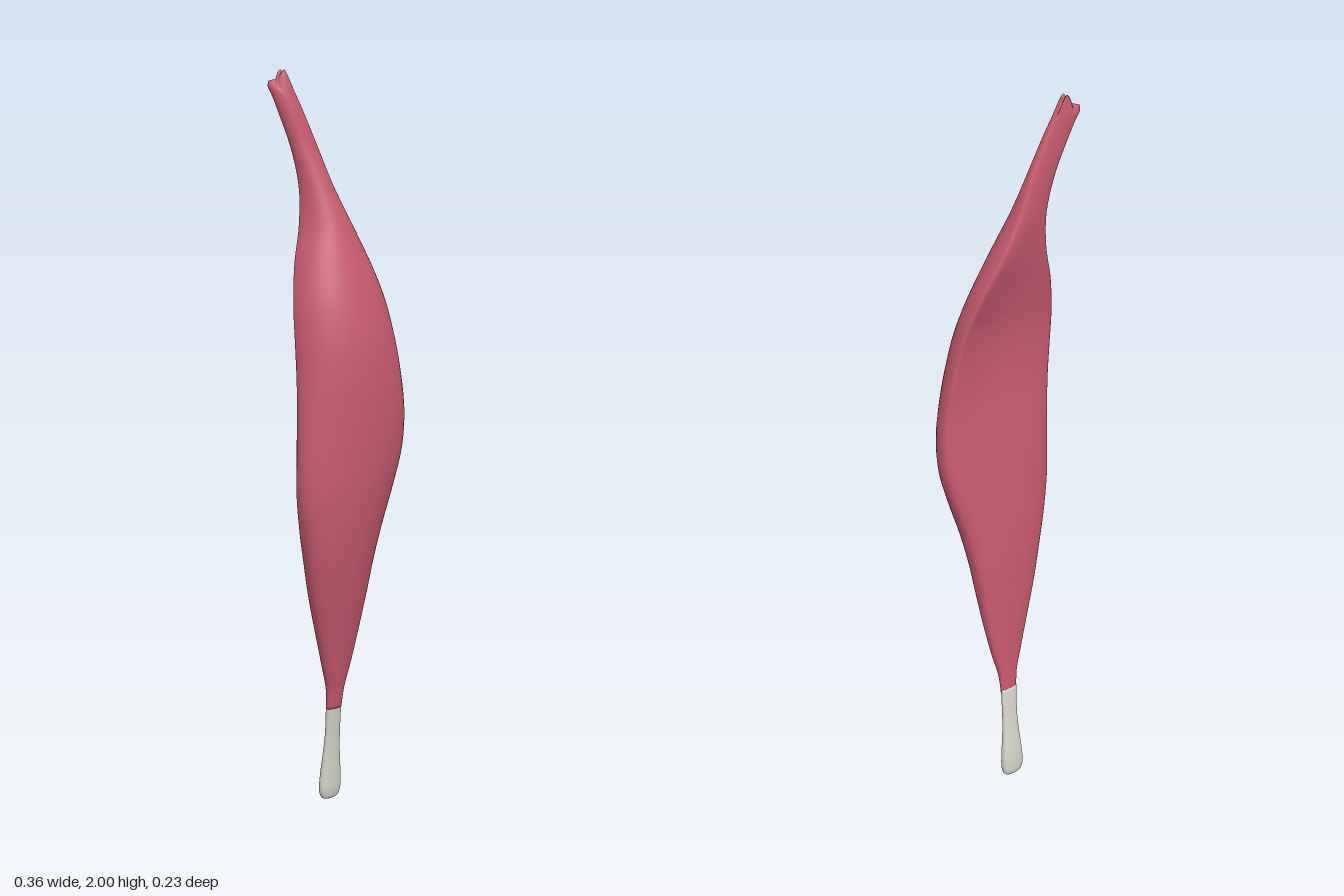
import * as THREE from 'three';

// Cross-sections: y, left x, right x, z of left rim, z of right rim, front z, back z
const MUSCLE = [
  [0.27, -0.03, 0.022, -0.044, -0.044, -0.032, -0.055],
  [0.33, -0.036, 0.026, -0.036, -0.038, -0.02, -0.054],
  [0.40, -0.058, 0.044, -0.026, -0.032, -0.004, -0.052],
  [0.50, -0.09, 0.064, -0.012, -0.022, 0.018, -0.051],
  [0.60, -0.12, 0.08, 0.0, -0.012, 0.042, -0.05],
  [0.70, -0.144, 0.096, 0.01, -0.004, 0.064, -0.049],
  [0.80, -0.165, 0.118, 0.016, 0.006, 0.082, -0.045],
  [0.90, -0.179, 0.148, 0.02, 0.014, 0.096, -0.038],
  [1.00, -0.18, 0.173, 0.02, 0.02, 0.106, -0.03],
  [1.10, -0.176, 0.178, 0.014, 0.018, 0.113, -0.02],
  [1.20, -0.172, 0.168, 0.006, 0.008, 0.115, -0.012],
  [1.30, -0.168, 0.152, -0.006, -0.006, 0.109, -0.012],
  [1.40, -0.16, 0.132, -0.022, -0.024, 0.09, -0.022],
  [1.50, -0.138, 0.1, -0.042, -0.05, 0.06, -0.047],
  [1.60, -0.108, 0.052, -0.058, -0.07, 0.026, -0.074],
  [1.70, -0.1, 0.002, -0.066, -0.074, -0.012, -0.088],
  [1.80, -0.116, -0.036, -0.08, -0.078, -0.046, -0.094],
  [1.90, -0.146, -0.08, -0.1, -0.086, -0.068, -0.103],
  [1.96, -0.165, -0.108, -0.112, -0.092, -0.086, -0.112],
  [1.985, -0.165, -0.12, -0.113, -0.098, -0.096, -0.113],
];
const TENDON = [
  [0.0, -0.016, 0.016, -0.067, -0.067, -0.06, -0.075],
  [0.006, -0.028, 0.029, -0.067, -0.067, -0.054, -0.08],
  [0.03, -0.036, 0.037, -0.065, -0.066, -0.049, -0.083],
  [0.08, -0.033, 0.035, -0.063, -0.064, -0.047, -0.08],
  [0.14, -0.028, 0.028, -0.058, -0.058, -0.045, -0.072],
  [0.20, -0.026, 0.024, -0.052, -0.052, -0.041, -0.064],
  [0.285, -0.03, 0.022, -0.044, -0.044, -0.033, -0.055],
];

// Catmull-Rom blend of two neighbouring sections, channel by channel
function sample(rows, u) {
  const n = rows.length - 1, i = Math.min(Math.floor(u), n - 1), t = u - i;
  const at = k => rows[Math.max(0, Math.min(n, k))];
  return rows[i].map((p1, c) => {
    const p0 = at(i - 1)[c], p2 = at(i + 1)[c], p3 = at(i + 2)[c];
    return p1 + 0.5 * t * (p2 - p0 + t * (2 * p0 - 5 * p1 + 4 * p2 - p3 + t * (3 * (p1 - p2) + p3 - p0)));
  });
}

// Closed loft: the front bulges, the back is shallow with rounded rims
function loft(rows, name, color, shapeTop) {
  const sides = 48, steps = (rows.length - 1) * 5, pos = [], idx = [];
  for (let j = 0; j <= steps; j++) {
    const [y, xl, xr, zl, zr, zf, zb] = sample(rows, j / 5);
    const mid = (xl + xr) / 2, half = (xr - xl) / 2;
    for (let i = 0; i < sides; i++) {
      const a = (i / sides) * Math.PI * 2, c = Math.cos(a), s = Math.sin(a), m = Math.abs(s);
      const rim = zl + (zr - zl) * (c + 1) / 2, centre = (zl + zr) / 2;
      const roll = Math.min(0.022, half * 0.2) * Math.sqrt(m) * (1 - m);
      const depth = s >= 0 ? (zf - centre) * m : (zb - centre) * m - roll;
      pos.push(mid + half * c, y + (shapeTop ? shapeTop(c, y) : 0), rim + depth);
    }
  }
  for (let j = 0; j < steps; j++) for (let i = 0; i < sides; i++) {
    const a = j * sides + i, b = j * sides + (i + 1) % sides;
    idx.push(a, a + sides, b, b, a + sides, b + sides);
  }
  // End caps
  for (const row of [0, steps]) {
    const base = row * sides, o = pos.length / 3, sum = [0, 0, 0];
    for (let i = 0; i < sides; i++) for (let k = 0; k < 3; k++) sum[k] += pos[(base + i) * 3 + k] / sides;
    pos.push(...sum);
    for (let i = 0; i < sides; i++) {
      const a = base + i, b = base + (i + 1) % sides;
      if (row) idx.push(o, b, a); else idx.push(o, a, b);
    }
  }
  const geo = new THREE.BufferGeometry();
  geo.setAttribute('position', new THREE.Float32BufferAttribute(pos, 3));
  geo.setIndex(idx);
  geo.computeVertexNormals();
  const mesh = new THREE.Mesh(geo, new THREE.MeshStandardMaterial({ color }));
  mesh.name = name;
  return mesh;
}

// Forked upper end: a tall point on one side, a short one on the other, a notch between
function fork(c, y) {
  const k = THREE.MathUtils.smoothstep(y, 1.93, 1.985);
  const tall = 0.015 * Math.exp(-(((c - 0.55) / 0.4) ** 2));
  const notch = -0.022 * Math.exp(-(((c + 0.2) / 0.25) ** 2));
  const low = -0.014 * THREE.MathUtils.smoothstep(-c, 0, 0.6);
  const shoulder = -0.02 * THREE.MathUtils.smoothstep(c, 0.75, 1);
  return k * (tall + notch + low + shoulder);
}

export function createModel() {
  const group = new THREE.Group();
  group.name = 'muscle with tendon';
  group.add(loft(MUSCLE, 'muscleBelly', 0xc95c70, fork));
  group.add(loft(TENDON, 'lowerTendon', 0xd4d3c8));
  return group;
}
